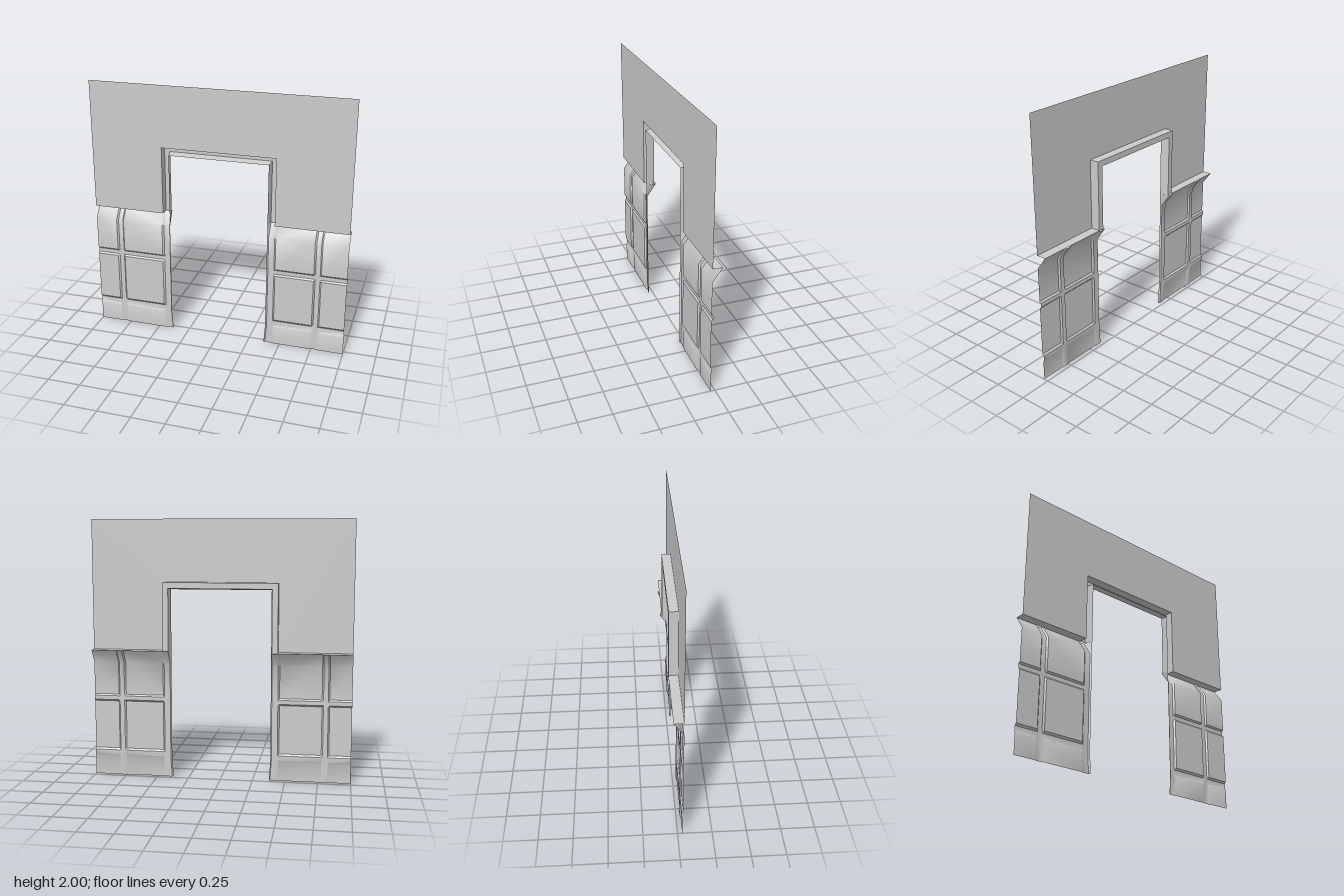
import * as THREE from 'three';
import { toCreasedNormals } from 'three/addons/utils/BufferGeometryUtils.js';

const FRONT = 0.04;    // plane of the wall sheet
const BACK = -0.03;    // plane of the shelf edge and door frame
const RELIEF = 0.012;  // how far battens and rails stand out to the back
const DOOR = 0.44, DOOR_TOP = 1.525, MID = 1;

const material = new THREE.MeshStandardMaterial({ color: 0xcccccc, side: THREE.DoubleSide });

function mesh(name, geometry) {
  const m = new THREE.Mesh(geometry, material);
  m.name = name;
  return m;
}

// Sheet through rows x columns of points
function gridSheet(rows, cols, point, crease = 0.7) {
  const positions = [], index = [];
  for (let r = 0; r < rows; r++)
    for (let c = 0; c < cols; c++) positions.push(...point(r, c));
  for (let r = 0; r < rows - 1; r++)
    for (let c = 0; c < cols - 1; c++) {
      const a = r * cols + c, b = a + 1, d = a + cols, e = d + 1;
      index.push(a, b, e, a, e, d);
    }
  const g = new THREE.BufferGeometry();
  g.setAttribute('position', new THREE.Float32BufferAttribute(positions, 3));
  g.setIndex(index);
  return toCreasedNormals(g, crease);
}

// Flat upper wall with the top of the doorway cut out
function upperWall() {
  const s = new THREE.Shape();
  [[-1, MID], [-DOOR, MID], [-DOOR, DOOR_TOP], [DOOR, DOOR_TOP], [DOOR, MID], [1, MID], [1, 2], [-1, 2]]
    .forEach(([x, y], i) => (i ? s.lineTo(x, y) : s.moveTo(x, y)));
  s.closePath();
  return new THREE.ShapeGeometry(s).translate(0, 0, FRONT);
}

// Hollow channel swept up one jamb, across the lintel and down the other
function doorFrame() {
  const section = [[0, FRONT], [0, BACK], [0.045, BACK], [0.055, FRONT]]; // inset, z
  return gridSheet(4, section.length, (r, c) => {
    const [inset, z] = section[c];
    const x = (r < 2 ? 1 : -1) * (DOOR - inset);
    const y = r === 0 || r === 3 ? MID : DOOR_TOP - inset;
    return [x, y, z];
  }, 0.3);
}

// Panelled lower wall: leans back to the shelf at the top, relief from battens and rails
function lowerWall(side, battenX) {
  // height, relief of the rails (0 to 1)
  const rows = [[1, 0], [0.9, 0], [0.645, 0], [0.633, 1], [0.602, 1], [0.59, 0],
    [0.212, 0], [0.198, 1], [0.158, 1], [0.15, 0.5], [0, 0.5]];
  // distance from the middle, relief of the battens
  const cols = [[1, 0], [battenX + 0.029, 0], [battenX + 0.018, 1], [battenX - 0.018, 1],
    [battenX - 0.029, 0], [0.452, 0], [0.44, 1], [0.394, 1], [0.385, null]];
  return gridSheet(rows.length, cols.length, (r, c) => {
    const [y, rail] = rows[r];
    const [x, batten] = cols[c];
    const base = y > 0.9 ? BACK - 0.002 : FRONT;
    const flare = y < 0.1 && c >= cols.length - 2 ? 0.01 : 0;
    // the last column turns forward as the door reveal
    const z = batten === null ? FRONT : base - RELIEF * Math.max(rail, batten);
    return [side * (x - flare), y, z];
  });
}

// Ledge joining the upper wall to the top of the lower wall
function shelf(side) {
  return gridSheet(2, 2, (r, c) => [side * (c ? DOOR : 1), MID, r ? FRONT : BACK - 0.002]);
}

export function createModel() {
  const model = new THREE.Group();
  model.name = 'doorwayWall';
  model.add(mesh('upperWall', upperWall()), mesh('doorFrame', doorFrame()));
  for (const [label, side, battenX] of [['left', 1, 0.777], ['right', -1, 0.803]]) {
    model.add(mesh(label + 'LowerWall', lowerWall(side, battenX)));
    model.add(mesh(label + 'Shelf', shelf(side)));
  }
  return model;
}
